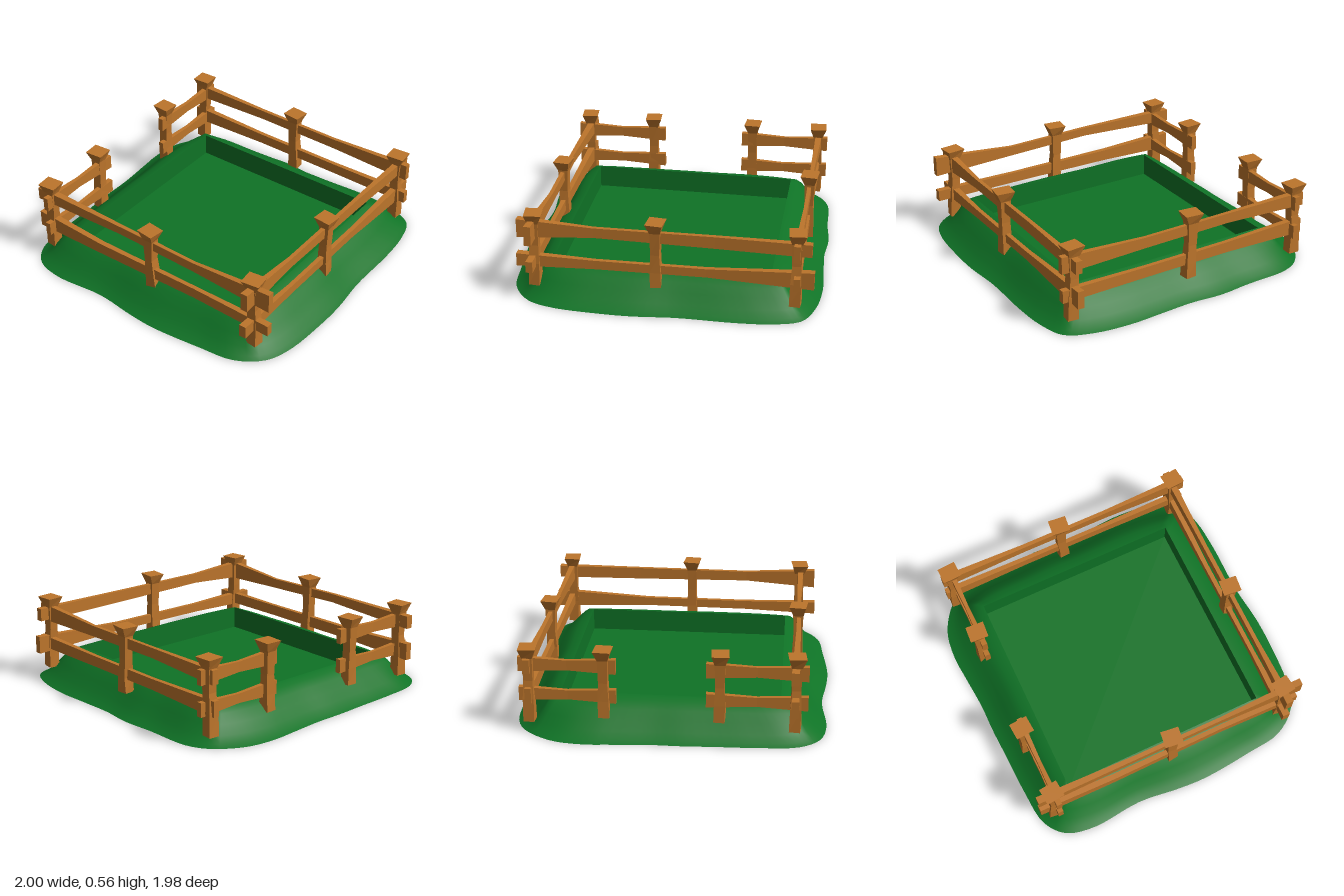
import * as THREE from 'three';

const grass = new THREE.MeshStandardMaterial({ color: 0x0f7326 });
grass.name = 'grass green';
const wood = new THREE.MeshStandardMaterial({ color: 0xbd752b, flatShading: true });
wood.name = 'warm wood';

// Wavy ground outline as x, z pairs
const OUTLINE = [
  -0.85, -0.88, -0.72, -0.95, -0.4, -0.97, -0.18, -0.99, 0.03, -0.975, 0.25, -0.985,
  0.49, -0.995, 0.73, -0.965, 0.89, -0.89, 0.95, -0.72, 0.97, -0.5, 0.97, -0.13,
  0.995, 0.13, 0.995, 0.35, 0.97, 0.64, 0.91, 0.8, 0.75, 0.92, 0.51, 0.955,
  0.17, 0.985, -0.02, 0.975, -0.29, 0.945, -0.64, 0.97, -0.82, 0.925, -0.92, 0.8,
  -0.95, 0.56, -0.96, 0.3, -0.97, 0.08, -0.97, -0.1, -0.99, -0.35, -1.0, -0.5, -0.97, -0.7,
];
const PIT = 0.685, RIM = 0.2, FLOOR = 0.05;

function add(parent, name, geometry, material) {
  const mesh = new THREE.Mesh(geometry, material);
  mesh.name = name;
  parent.add(mesh);
  return mesh;
}

// Four-sided loft along an axis. Each section: [u, centreA, centreB, halfA, halfB, twist],
// where (a, b, u) is a cyclic order of x, y, z.
function loft(axis, sections) {
  const place = { x: (a, b, u) => [u, a, b], y: (a, b, u) => [b, u, a], z: (a, b, u) => [a, b, u] }[axis];
  const rings = sections.map(([u, ca, cb, ha, hb, twist = 0]) =>
    [[-1, -1], [1, -1], [1, 1], [-1, 1]].map(([sa, sb]) => {
      const a = sa * ha, b = sb * hb, c = Math.cos(twist), s = Math.sin(twist);
      return place(ca + a * c - b * s, cb + a * s + b * c, u);
    }));
  const pos = [];
  const quad = (a, b, c, d) => pos.push(...a, ...b, ...c, ...a, ...c, ...d);
  for (let k = 0; k < rings.length - 1; k++) {
    for (let i = 0; i < 4; i++) {
      const j = (i + 1) % 4;
      quad(rings[k][i], rings[k][j], rings[k + 1][j], rings[k + 1][i]);
    }
  }
  const s = rings[0], e = rings[rings.length - 1];
  quad(s[0], s[3], s[2], s[1]);
  quad(e[0], e[1], e[2], e[3]);
  const g = new THREE.BufferGeometry();
  g.setAttribute('position', new THREE.Float32BufferAttribute(pos, 3));
  g.computeVertexNormals();
  return g;
}

function buildGround() {
  const ground = new THREE.Group();
  ground.name = 'ground';
  const pts = [];
  for (let i = 0; i < OUTLINE.length; i += 2) pts.push(new THREE.Vector3(OUTLINE[i], 0, OUTLINE[i + 1]));
  const edge = new THREE.CatmullRomCurve3(pts, true).getPoints(1500);

  // Square rim matched by direction to the outer edge
  const corners = [[-PIT, -PIT], [PIT, -PIT], [PIT, PIT], [-PIT, PIT]];
  const inner = [], outer = [], perSide = 32;
  for (let s = 0; s < 4; s++) {
    const [p, q] = [corners[s], corners[(s + 1) % 4]];
    for (let i = 0; i < perSide; i++) {
      const t = i / perSide;
      const v = new THREE.Vector3(p[0] + (q[0] - p[0]) * t, 0, p[1] + (q[1] - p[1]) * t);
      const dir = v.clone().normalize();
      inner.push(v);
      outer.push(edge.reduce((best, e) => (e.dot(dir) / e.length() > best.dot(dir) / best.length() ? e : best)));
    }
  }

  // Sloping bank, from the outer edge up to the rim
  const profile = [[0, 0], [0.12, 0.016], [0.28, 0.05], [0.45, 0.1], [0.62, 0.15], [0.8, 0.186], [1, RIM]];
  const n = inner.length, pos = [], index = [];
  profile.forEach(([t, y], k) => {
    for (let i = 0; i < n; i++) {
      const v = outer[i].clone().lerp(inner[i], t);
      pos.push(v.x, y, v.z);
      if (k < profile.length - 1) {
        const a = k * n + i, b = k * n + (i + 1) % n;
        index.push(a, a + n, b + n, a, b + n, b);
      }
    }
  });
  const bank = new THREE.BufferGeometry();
  bank.setAttribute('position', new THREE.Float32BufferAttribute(pos, 3));
  bank.setIndex(index);
  bank.computeVertexNormals();
  add(ground, 'grassBank', bank, grass);

  // Flat underside
  const shape = new THREE.Shape(outer.map((v) => new THREE.Vector2(v.x, v.z)));
  add(ground, 'underside', new THREE.ShapeGeometry(shape).rotateX(Math.PI / 2), grass);

  // Sunken square floor and its four walls
  add(ground, 'pitFloor', new THREE.PlaneGeometry(2 * PIT, 2 * PIT).rotateX(-Math.PI / 2), grass).position.y = FLOOR;
  for (let i = 0; i < 4; i++) {
    const wall = new THREE.PlaneGeometry(2 * PIT, RIM - FLOOR);
    wall.translate(0, (RIM + FLOOR) / 2, -PIT).rotateY(i * Math.PI / 2);
    add(ground, 'pitWall', wall, grass);
  }
  return ground;
}

function buildFence() {
  const fence = new THREE.Group();
  fence.name = 'fence';

  // Posts: x, z, bottom height, cap twist, shaft lean
  const posts = [
    [-0.82, -0.855, 0.07, 0.06, -0.01], [-0.03, -0.855, 0.12, -0.1, 0.01], [0.8, -0.845, 0.07, 0.08, 0.01],
    [0.8, 0.015, 0.12, -0.1, 0], [0.79, 0.775, 0.07, 0.12, 0.01], [0.005, 0.775, 0.12, -0.12, 0.01],
    [-0.82, 0.775, 0.07, 0.1, -0.01], [-0.82, 0.315, 0.11, 0.08, 0], [-0.82, -0.395, 0.11, -0.06, 0],
  ];
  for (const [x, z, bottom, twist, lean] of posts) {
    add(fence, 'post', loft('y', [
      [bottom, z, x + lean, 0.034, 0.036, -twist],
      [0.22, z, x + lean, 0.034, 0.032],
      [0.34, z, x, 0.028, 0.029, twist / 2],
      [0.49, z, x, 0.032, 0.035],
      [0.555, z, x, 0.054, 0.06, twist],
    ]), wood);
  }

  // Rails: stations of [position, low, high, half thickness, sideways shift]
  const rail = (name, axis, fixed, stations) => add(fence, name, loft(axis, stations.map(([u, lo, hi, t, shift = 0]) => {
    const y = (lo + hi) / 2, h = (hi - lo) / 2;
    return axis === 'x' ? [u, y, fixed + shift, h, t] : [u, fixed + shift, y, t, h];
  })), wood);

  rail('frontUpperRail', 'x', 0.778, [[-0.92, 0.405, 0.488, 0.024, -0.01], [-0.23, 0.428, 0.485, 0.014], [0.35, 0.408, 0.472, 0.012], [0.92, 0.388, 0.518, 0.022, 0.006]]);
  rail('frontLowerRail', 'x', 0.778, [[-0.92, 0.19, 0.3, 0.022, -0.006], [-0.4, 0.2, 0.275, 0.018, 0.004], [0.35, 0.203, 0.274, 0.014], [0.915, 0.2, 0.274, 0.022, 0.006]]);
  rail('backUpperRail', 'x', -0.853, [[-0.88, 0.4, 0.49, 0.022, -0.006], [-0.3, 0.415, 0.48, 0.013], [0.3, 0.405, 0.475, 0.012], [0.88, 0.39, 0.5, 0.02, 0.005]]);
  rail('backLowerRail', 'x', -0.853, [[-0.88, 0.2, 0.3, 0.02], [-0.3, 0.21, 0.28, 0.014], [0.3, 0.205, 0.275, 0.014], [0.88, 0.2, 0.28, 0.02]]);
  rail('leftUpperRail', 'z', 0.797, [[-0.935, 0.405, 0.488, 0.022, 0.006], [-0.35, 0.41, 0.488, 0.014], [0.4, 0.42, 0.485, 0.013], [0.88, 0.39, 0.512, 0.024, -0.004]]);
  rail('leftLowerRail', 'z', 0.797, [[-0.955, 0.185, 0.3, 0.022, 0.006], [-0.3, 0.208, 0.265, 0.015], [0.4, 0.203, 0.262, 0.014], [0.89, 0.19, 0.275, 0.024, -0.004]]);

  // Short rails on either side of the gateway
  for (const [a, b] of [[-0.92, -0.32], [0.23, 0.85]]) {
    const mid = (a + b) / 2;
    rail('gatewayUpperRail', 'z', -0.805, [[a, 0.39, 0.485, 0.018], [mid, 0.405, 0.47, 0.012], [b, 0.39, 0.485, 0.018]]);
    rail('gatewayLowerRail', 'z', -0.805, [[a, 0.195, 0.285, 0.018], [mid, 0.21, 0.27, 0.012], [b, 0.195, 0.285, 0.018]]);
  }
  return fence;
}

export function createModel() {
  const model = new THREE.Group();
  model.name = 'fencedPaddock';
  model.add(buildGround(), buildFence());
  return model;
}
